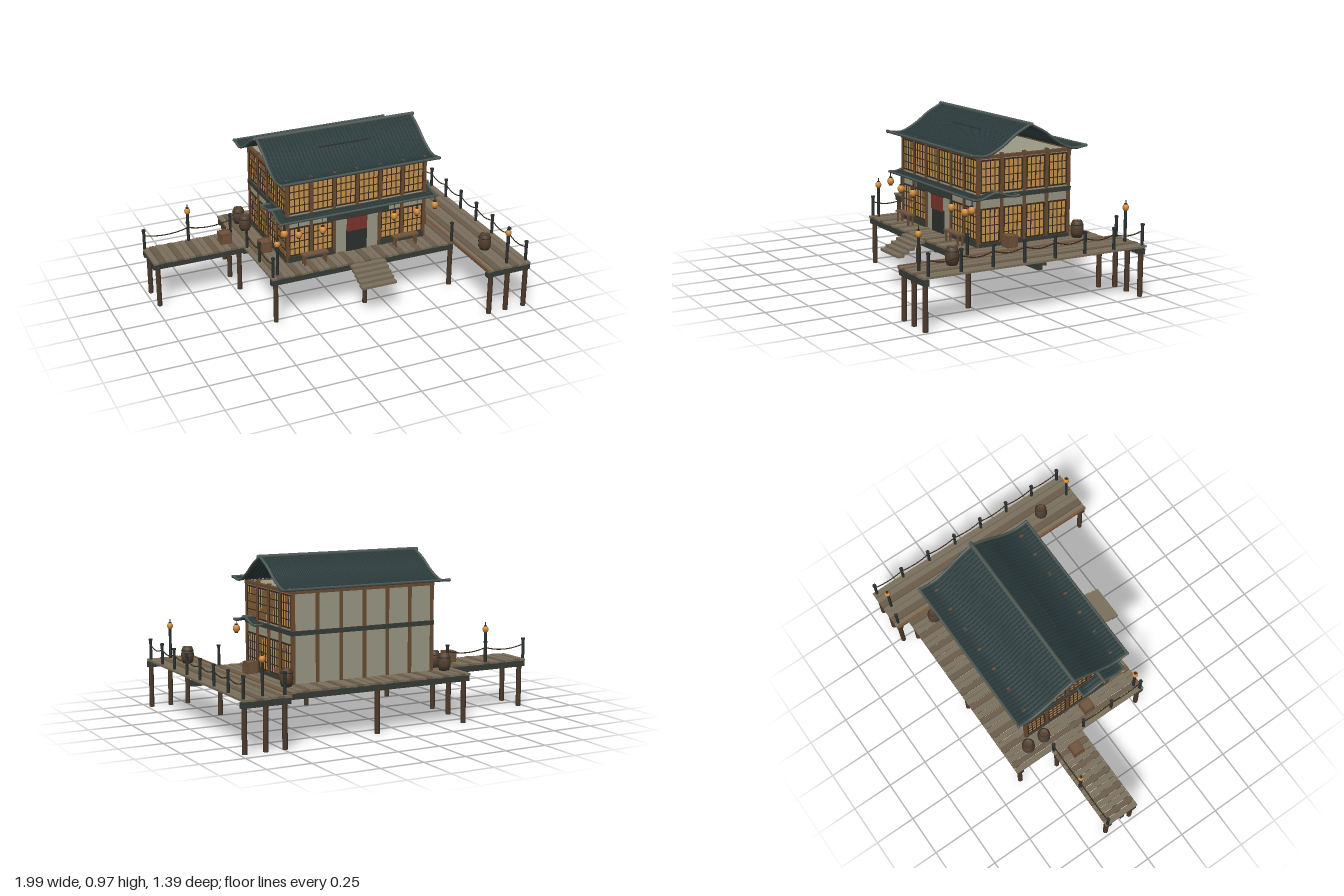
import * as THREE from 'three';

const mat = (color, side = THREE.FrontSide) => new THREE.MeshStandardMaterial({ color, side });
const M = {
  plank: mat(0x7b705c), plank2: mat(0x6b5c49), edge: mat(0x76583f), post: mat(0x4c3a2c),
  beam: mat(0x383d38), plaster: mat(0x9c9a86), frame: mat(0x6b4c33), bar: mat(0x3d2c1e),
  glow: mat(0xc9964f), roof: mat(0x2c3c3d, THREE.DoubleSide), trim: mat(0x4d5853),
  dark: mat(0x2b302f), red: mat(0x7c352b), lamp: mat(0xd48c3a), barrel: mat(0x54402f), crate: mat(0x70543c),
};

export function createModel() {
  const root = new THREE.Group();
  const group = (name, parent = root) => {
    const g = new THREE.Group();
    g.name = name;
    parent.add(g);
    return g;
  };
  const add = (parent, name, geo, m, x = 0, y = 0, z = 0) => {
    const o = new THREE.Mesh(geo, m);
    o.name = name;
    o.position.set(x, y, z);
    parent.add(o);
    return o;
  };
  // box given by its minimum and maximum on each axis
  const box = (p, name, m, x0, x1, y0, y1, z0, z1) =>
    add(p, name, new THREE.BoxGeometry(x1 - x0, y1 - y0, z1 - z0), m, (x0 + x1) / 2, (y0 + y1) / 2, (z0 + z1) / 2);
  const rod = (p, name, m, r, x, y0, y1, z, n = 8) =>
    add(p, name, new THREE.CylinderGeometry(r, r, y1 - y0, n), m, x, (y0 + y1) / 2, z);
  const tube = (p, name, m, curve, r, seg = 12, n = 6) => add(p, name, new THREE.TubeGeometry(curve, seg, r, n), m);
  const V = (x, y, z) => new THREE.Vector3(x, y, z);
  const T = 0.29; // deck level

  // Decks: planks running along z, beams along x, piles below
  const deck = (name, x0, x1, z0, z1, n, beams, piles) => {
    const g = group(name), w = (x1 - x0) / n;
    for (let i = 0; i < n; i++) {
      const lift = ((i * 7) % 5) * 0.0008;
      box(g, 'plank', i % 3 === 1 ? M.plank2 : M.plank, x0 + i * w + 0.002, x0 + (i + 1) * w - 0.002,
        0.276 + lift, T - 0.002 + lift, z0, z1);
    }
    for (const z of beams) box(g, 'beam', M.beam, x0, x1, 0.241, 0.274, z - 0.014, z + 0.014);
    for (const [x, z] of piles) rod(g, 'pile', M.post, 0.015, x, 0, 0.276, z);
    return g;
  };
  const cross = (xs, zs) => xs.flatMap(x => zs.map(z => [x, z]));
  deck('mainDeck', -0.45, 0.71, -0.62, 0.29, 32, [0.27, -0.17, -0.59], cross([-0.42, 0.14, 0.7], [0.267, -0.59]));
  const pier = deck('pier', 0.71, 0.99, -0.7, 0.695, 7, [0.675, 0, -0.675], cross([0.74, 0.85, 0.97], [0.674, -0.674]));
  box(pier, 'edgeBoard', M.edge, 0.708, 0.722, 0.274, T + 0.003, -0.7, 0.695);
  deck('walkway', -1, -0.45, -0.38, -0.16, 15, [-0.185, -0.27, -0.357], cross([-0.97, -0.47], [-0.185, -0.357]));

  // Front steps
  const steps = group('steps');
  for (let i = 0; i < 5; i++)
    box(steps, 'step', M.plank, 0.035, 0.25, 0.262 - i * 0.0165, 0.278 - i * 0.0165, 0.28 + i * 0.034, 0.322 + i * 0.034);

  // House body
  const X0 = -0.29, X1 = 0.58, Z0 = -0.45, Z1 = 0.135, bw = 0.145, bd = (Z1 - Z0) / 4;
  const house = group('house');
  box(house, 'walls', M.plaster, X0, X1, T, 0.79, Z0, Z1);
  for (let i = 0; i < 7; i++)
    for (const z of [Z0, Z1]) {
      if (i === 3 && z === Z1) box(house, 'upperPost', M.frame, 0.136, 0.154, 0.58, 0.805, z - 0.01, z + 0.01);
      else box(house, 'wallPost', M.frame, X0 + i * bw - 0.009, X0 + i * bw + 0.009, T, 0.805, z - 0.01, z + 0.01);
    }
  for (let i = 1; i < 4; i++)
    for (const x of [X0, X1]) box(house, 'sidePost', M.frame, x - 0.01, x + 0.01, T, 0.805, Z0 + i * bd - 0.009, Z0 + i * bd + 0.009);
  const band = (name, m, y0, y1, o) => {
    for (const z of [Z0, Z1]) box(house, name, m, X0 - o, X1 + o, y0, y1, z - o, z + o);
    for (const x of [X0, X1]) box(house, name, m, x - o, x + o, y0, y1, Z0 - o, Z1 + o);
  };
  band('beltBeam', M.beam, 0.553, 0.578, 0.012);
  band('topBeam', M.frame, 0.778, 0.795, 0.012);
  for (const x of [X0, X1]) box(house, 'sill', M.beam, x - 0.011, x + 0.011, T, 0.31, Z0, Z1);
  box(house, 'frontSill', M.beam, X0, 0, T, 0.325, Z1, Z1 + 0.012);
  box(house, 'frontSill', M.beam, 0.29, X1, T, 0.325, Z1, Z1 + 0.012);

  // Lattice windows: glowing panel with bars
  const windowAt = (x, z, turn, w, y0, y1) => {
    const g = group('window', house), h = y1 - y0;
    g.position.set(x, y0, z);
    g.rotation.y = turn;
    box(g, 'pane', M.glow, -w / 2, w / 2, 0, h, -0.002, 0.003);
    for (let i = 0; i <= 4; i++) {
      const t = i % 4 ? 0.0022 : 0.004, px = (i / 4 - 0.5) * w, py = (i / 4) * h;
      box(g, 'upright', M.bar, px - t, px + t, 0, h, 0, 0.007);
      box(g, 'crossbar', M.bar, -w / 2, w / 2, py - t, py + t, 0, 0.007);
    }
  };
  for (let i = 0; i < 6; i++) {
    const x = X0 + (i + 0.5) * bw;
    windowAt(x, Z1, 0, 0.122, 0.595, 0.772);
    if (i < 2 || i > 3) windowAt(x, Z1, 0, 0.122, 0.33, 0.5);
  }
  for (let i = 0; i < 4; i++)
    for (const s of [-1, 1])
      for (const [a, b] of [[0.315, 0.5], [0.592, 0.768]])
        windowAt(s > 0 ? X1 : X0, Z0 + (i + 0.5) * bd, s * Math.PI / 2, 0.115, a, b);

  // Doorway with hanging cloth and sign boards
  const door = group('entrance');
  box(door, 'door', M.dark, 0.078, 0.207, T, 0.425, Z1, Z1 + 0.01);
  for (let i = 0; i < 3; i++)
    box(door, 'doorCloth', M.red, 0.077 + i * 0.044, 0.118 + i * 0.044, 0.42, 0.505, Z1 + 0.01, Z1 + 0.015);
  rod(door, 'clothRail', M.bar, 0.004, 0.143, -0.075, 0.075, 0).rotation.z = Math.PI / 2;
  door.children.at(-1).position.set(0.143, 0.507, Z1 + 0.013);
  box(door, 'doorSign', M.beam, -0.055, 0.335, 0.517, 0.562, 0.163, 0.173);
  box(door, 'roofSign', M.dark, -0.02, 0.3, 0.815, 0.895, -0.048, -0.04);

  // Curved gable roof: swept sheet, tile ribs, ridge, eave and verge rolls
  const gableRoof = (name, x0, x1, zc, half, y0, y1, r) => {
    const g = group(name);
    for (const s of [-1, 1]) {
      const curveAt = x => new THREE.CatmullRomCurve3(
        [[0, 1], [0.25, 0.69], [0.5, 0.27], [0.76, 0], [1, 0.06]].map(([d, h]) => V(x, y0 + h * (y1 - y0), zc + s * d * half)));
      const c = curveAt(0), geo = new THREE.PlaneGeometry(x1 - x0, 1, 1, 14), p = geo.attributes.position;
      for (let i = 0; i < p.count; i++) {
        const q = c.getPoint(0.5 - p.getY(i));
        p.setXYZ(i, p.getX(i) * s + (x0 + x1) / 2, q.y, q.z);
      }
      geo.computeVertexNormals();
      add(g, 'roofSheet', geo, M.roof);
      const n = Math.round((x1 - x0) / 0.023);
      for (let i = 1; i < n; i++) tube(g, 'tileRib', M.roof, curveAt(x0 + (i / n) * (x1 - x0)), 0.0055, 10, 5);
      for (const x of [x0, x1]) tube(g, 'vergeRoll', M.trim, curveAt(x), r, 14, 6);
      const e = c.getPoint(1);
      tube(g, 'eaveRoll', M.trim, new THREE.LineCurve3(V(x0 - r, e.y, e.z), V(x1 + r, e.y, e.z)), r, 1);
      for (const x of [x0, x1]) add(g, 'eaveEnd', new THREE.SphereGeometry(r * 1.25, 8, 6), M.trim, x, e.y, e.z);
    }
    tube(g, 'ridgeRoll', M.trim, new THREE.LineCurve3(V(x0 - 0.01, y1, zc), V(x1 + 0.01, y1, zc)), r * 1.5, 1, 8);
    for (const x of [x0 - 0.01, x1 + 0.01]) add(g, 'ridgeEnd', new THREE.SphereGeometry(r * 1.5, 8, 6), M.trim, x, y1, zc);
  };
  gableRoof('mainRoof', -0.355, 0.635, -0.16, 0.368, 0.802, 0.955, 0.008);
  gableRoof('porchRoof', -0.355, 0.635, 0.053, 0.143, 0.566, 0.597, 0.007);

  // Lanterns, hanging and on poles
  const lantern = (p, x, y, z, r) => {
    add(p, 'lanternShade', new THREE.SphereGeometry(r, 12, 8), M.lamp, x, y, z).scale.y = 1.15;
    for (const s of [-1, 1]) rod(p, 'lanternCap', M.dark, r * 0.5, x, y + s * r * 1.1 - 0.003, y + s * r * 1.1 + 0.003, z);
  };
  const hanging = group('hangingLanterns');
  for (const [x, y, z] of [[-0.335, 0.512, 0.2], [-0.24, 0.48, 0.18], [-0.09, 0.48, 0.18],
    [0.365, 0.48, 0.18], [0.515, 0.48, 0.18], [0.622, 0.512, 0.2]]) {
    lantern(hanging, x, y, z, 0.021);
    rod(hanging, 'cord', M.dark, 0.0025, x, y, 0.57, z, 5);
  }
  for (const [x, z] of [[-0.72, -0.365], [-0.4, 0.25], [0.855, 0.65], [0.855, -0.65]]) {
    const g = group('lanternPole');
    rod(g, 'pole', M.dark, 0.009, x, T, 0.46, z);
    lantern(g, x, 0.483, z, 0.018);
    rod(g, 'finial', M.dark, 0.003, x, 0.5, 0.525, z, 5);
  }

  // Rope railings
  const railing = (name, pts) => {
    const g = group(name);
    pts.forEach(([x, z], i) => {
      rod(g, 'railPost', M.dark, 0.009, x, T, 0.405, z);
      rod(g, 'railCap', M.dark, 0.012, x, 0.402, 0.412, z);
      if (!i) return;
      const [a, b] = pts[i - 1];
      tube(g, 'rope', M.bar, new THREE.QuadraticBezierCurve3(V(a, 0.375, b), V((a + x) / 2, 0.335, (b + z) / 2), V(x, 0.375, z)), 0.0035, 10, 5);
    });
  };
  railing('pierRailing', Array.from({ length: 8 }, (_, i) => [0.975, 0.66 - i * 0.191]));
  railing('walkwayRailing', [[-0.99, -0.367], [-0.72, -0.367], [-0.455, -0.367]]);
  railing('deckRailing', [[-0.435, 0.27], [-0.435, 0.06], [-0.435, -0.14]]);
  railing('cornerPost', [[0.702, 0.275]]);
  railing('pierEndPost', [[0.74, -0.675]]);

  // Barrels
  const profile = [[0, 0], [0.028, 0], [0.035, 0.025], [0.038, 0.048], [0.035, 0.071], [0.028, 0.096], [0.024, 0.096], [0.024, 0.09], [0, 0.09]]
    .map(([r, y]) => new THREE.Vector2(r, y));
  for (const [x, z] of [[0.83, 0.44], [0.635, -0.48], [-0.36, -0.48], [-0.36, -0.37]]) {
    const g = group('barrel');
    g.position.set(x, T, z);
    add(g, 'staves', new THREE.LatheGeometry(profile, 14), M.barrel);
    for (const [y, r] of [[0.02, 0.034], [0.075, 0.034]])
      add(g, 'hoop', new THREE.TorusGeometry(r, 0.003, 5, 16), M.dark, 0, y).rotation.x = Math.PI / 2;
  }

  // Crates with edge battens
  for (const [x, z] of [[-0.53, -0.26], [-0.355, -0.06], [0.64, -0.03]]) {
    const g = group('crate'), h = 0.033;
    g.position.set(x, T + h, z);
    box(g, 'crateBody', M.crate, -h + 0.003, h - 0.003, -h, h - 0.003, -h + 0.003, h - 0.003);
    for (const s of [-1, 1])
      for (const t of [-1, 1]) {
        add(g, 'batten', new THREE.BoxGeometry(0.008, 2 * h, 0.008), M.frame, s * (h - 0.003), 0, t * (h - 0.003));
        add(g, 'batten', new THREE.BoxGeometry(2 * h, 0.008, 0.008), M.frame, 0, s * (h - 0.004), t * (h - 0.003));
        add(g, 'batten', new THREE.BoxGeometry(0.008, 0.008, 2 * h), M.frame, t * (h - 0.003), s * (h - 0.004), 0);
      }
  }

  // Benches either side of the entrance
  for (const x of [-0.15, 0.43]) {
    const g = group('bench');
    box(g, 'seat', M.crate, x - 0.08, x + 0.08, 0.348, 0.358, 0.178, 0.222);
    for (const [dx, z] of cross([-0.065, 0.065], [0.186, 0.214])) box(g, 'benchLeg', M.frame, x + dx - 0.005, x + dx + 0.005, T, 0.348, z - 0.005, z + 0.005);
  }
  return root;
}
